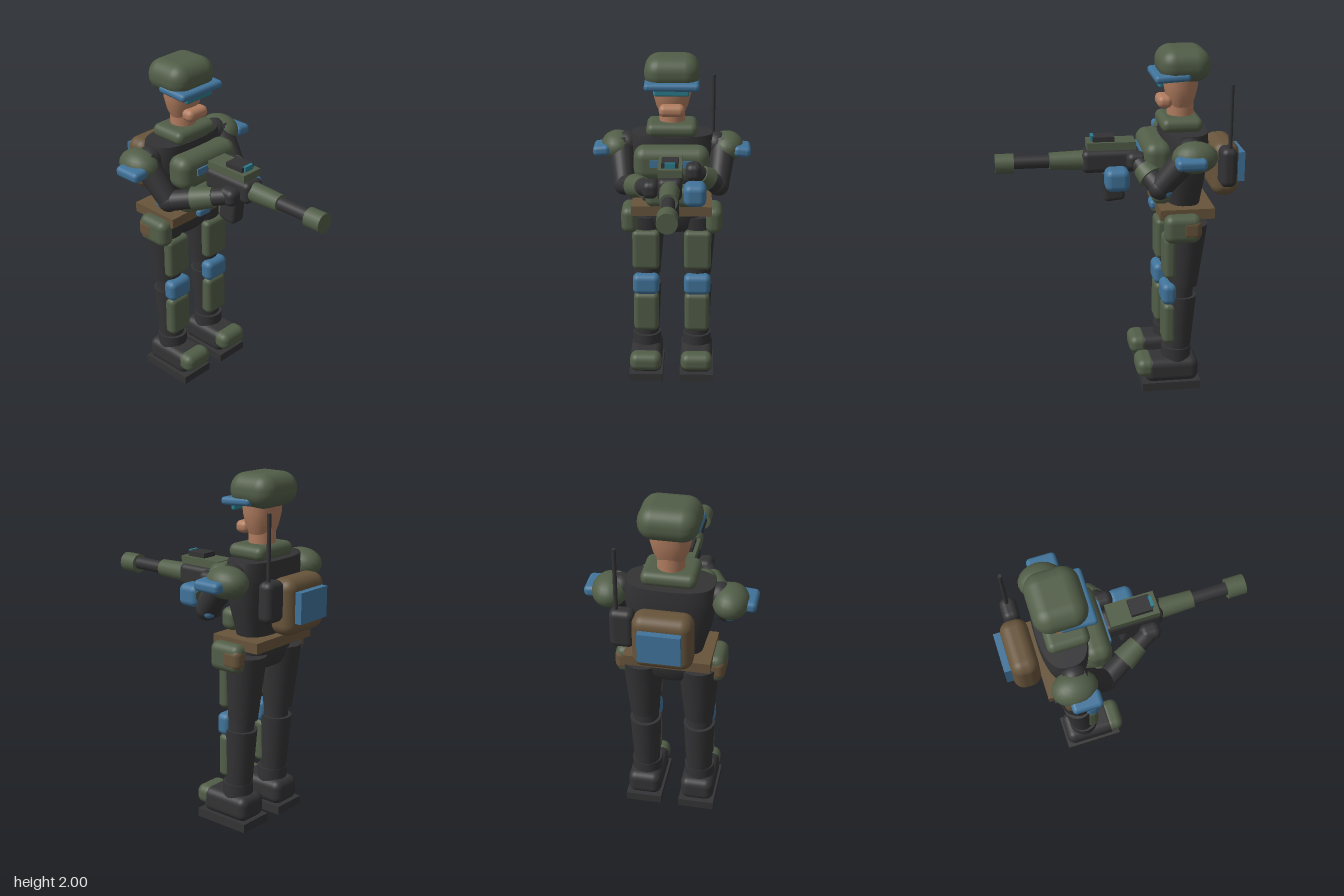
import * as THREE from 'three';
import { toCreasedNormals } from 'three/addons/utils/BufferGeometryUtils.js';
import { RoundedBoxGeometry } from 'three/addons/geometries/RoundedBoxGeometry.js';

const paint = (name, color) => {
  const m = new THREE.MeshStandardMaterial({ color });
  m.name = name;
  return m;
};

export function createModel() {
  const green = paint('olive green', 0x525e48);
  const dark = paint('charcoal', 0x333335);
  const blue = paint('steel blue', 0x40739a);
  const brown = paint('canvas brown', 0x67543b);
  const skin = paint('skin', 0xb07c5f);
  const teal = paint('teal lens', 0x2c7c8e);

  const model = new THREE.Group();
  model.name = 'soldier';
  let parent = model;

  const add = (name, geo, mat, x = 0, y = 0, z = 0) => {
    const mesh = new THREE.Mesh(geo, mat);
    mesh.name = name;
    mesh.position.set(x, y, z);
    parent.add(mesh);
    return mesh;
  };
  const group = (name, build) => {
    parent = new THREE.Group();
    parent.name = name;
    model.add(parent);
    build();
    parent = model;
  };
  const box = (name, mat, x, y, z, w, h, d) =>
    add(name, new THREE.BoxGeometry(w, h, d), mat, x, y, z);
  // Softly rounded block
  const pad = (name, mat, x, y, z, w, h, d, round = 0.4) =>
    add(name, new RoundedBoxGeometry(w, h, d, 5, Math.min(w, h, d) * round), mat, x, y, z);
  // Tapered round piece between two points
  const limb = (name, mat, a, b, ra, rb) => {
    const p = new THREE.Vector3(...a), q = new THREE.Vector3(...b);
    const dir = q.clone().sub(p);
    const mesh = add(name, new THREE.CylinderGeometry(rb, ra, dir.length(), 24), mat);
    mesh.position.copy(p).add(q).multiplyScalar(0.5);
    mesh.quaternion.setFromUnitVectors(new THREE.Vector3(0, 1, 0), dir.normalize());
    return mesh;
  };
  // Turned profile with squared-off oval sections
  const oval = (name, mat, profile, z, depth, square = 1) => {
    const geo = new THREE.LatheGeometry(profile.map((p) => new THREE.Vector2(...p)), 40);
    const pos = geo.attributes.position;
    for (let i = 0; i < pos.count; i++) {
      const r = Math.hypot(pos.getX(i), pos.getZ(i)) || 1;
      const bend = (v) => Math.sign(v) * Math.abs(v / r) ** square * r;
      pos.setX(i, bend(pos.getX(i)));
      pos.setZ(i, bend(pos.getZ(i)) * depth);
    }
    return add(name, toCreasedNormals(geo, 0.7), mat, 0, 0, z);
  };

  // Head and headgear
  group('head', () => {
    oval('face', skin, [[0, 1.65], [0.07, 1.655], [0.095, 1.71], [0.112, 1.78], [0.115, 1.85], [0, 1.87]], -0.345, 0.85, 0.9);
    limb('neck', skin, [0, 1.58, -0.345], [0, 1.69, -0.345], 0.075, 0.075);
    pad('jaw', skin, 0, 1.695, -0.25, 0.15, 0.07, 0.085, 0.45);
    pad('helmet', green, 0, 1.907, -0.353, 0.322, 0.186, 0.29, 0.47);
    pad('helmetBrim', blue, 0, 1.847, -0.278, 0.318, 0.045, 0.2, 0.45).rotation.x = 0.06;
    pad('visor', teal, 0, 1.812, -0.218, 0.2, 0.05, 0.025);
  });

  // Torso, armour and belt
  group('torso', () => {
    oval('body', dark, [[0, 1.1], [0.175, 1.1], [0.19, 1.16], [0.222, 1.27], [0.245, 1.4], [0.25, 1.48], [0.24, 1.54], [0, 1.54]], -0.36, 0.54, 0.75);
    pad('collar', green, 0, 1.575, -0.338, 0.3, 0.082, 0.235, 0.47);
    pad('chestPlate', green, 0, 1.4, -0.195, 0.44, 0.2, 0.16);
    pad('abdomenPlate', green, 0, 1.185, -0.225, 0.31, 0.13, 0.11);
    box('chestStrip', blue, 0, 1.413, -0.115, 0.25, 0.042, 0.02);
    box('belt', brown, 0, 1.09, -0.357, 0.48, 0.06, 0.31);
    pad('buckle', blue, 0, 1.087, -0.195, 0.1, 0.05, 0.045);
    oval('pelvis', dark, [[0, 0.925], [0.13, 0.93], [0.165, 0.965], [0.185, 1.03], [0.185, 1.07], [0, 1.07]], -0.36, 0.6, 0.8);
    for (const s of [-1, 1]) {
      pad('hipPouch', green, s * 0.255, 1.015, -0.325, 0.1, 0.165, 0.21, 0.45);
      pad('sidePouch', brown, s * 0.26, 1.015, -0.37, 0.095, 0.125, 0.125);
    }
  });

  // Legs
  for (const s of [-1, 1]) {
    const x = s * 0.157;
    group(s > 0 ? 'leftLeg' : 'rightLeg', () => {
      limb('thigh', dark, [x, 0.64, -0.35], [x, 1.02, -0.37], 0.084, 0.115);
      limb('kneeJoint', dark, [x, 0.56, -0.335], [x, 0.65, -0.335], 0.075, 0.075);
      limb('shin', dark, [x, 0.23, -0.325], [x, 0.575, -0.34], 0.075, 0.09);
      limb('ankle', dark, [x, 0.17, -0.317], [x, 0.25, -0.317], 0.087, 0.087);
      pad('thighPlate', green, x, 0.822, -0.265, 0.165, 0.25, 0.07);
      pad('kneePad', blue, x, 0.597, -0.263, 0.165, 0.13, 0.088);
      pad('shinPlate', green, x, 0.41, -0.268, 0.155, 0.255, 0.08);
      pad('boot', dark, x, 0.115, -0.283, 0.195, 0.145, 0.315, 0.32);
      pad('toeCap', green, x, 0.133, -0.132, 0.195, 0.113, 0.115);
      box('sole', dark, x, 0.025, -0.278, 0.21, 0.05, 0.345);
    });
  }

  // Arms, the right one reaching further forward
  for (const s of [-1, 1]) {
    const shoulder = [s * 0.305, 1.47, -0.355];
    const elbow = [s * 0.275, 1.265, -0.19];
    const hand = s < 0 ? [-0.11, 1.345, 0.12] : [0.13, 1.385, -0.08];
    const along = (t) => elbow.map((v, i) => v + (hand[i] - v) * t);
    group(s > 0 ? 'leftArm' : 'rightArm', () => {
      const cap = add('shoulderPad', new THREE.SphereGeometry(1, 20, 14), green, s * 0.325, 1.45, -0.372);
      cap.scale.set(0.1, 0.088, 0.127);
      pad('shoulderPlate', blue, s * 0.415, 1.443, -0.335, 0.1, 0.062, 0.17).rotation.z = -s * 0.08;
      add('shoulderJoint', new THREE.SphereGeometry(0.075, 20, 14), dark, s * 0.265, 1.465, -0.355);
      limb('upperArm', dark, shoulder, elbow, 0.078, 0.062);
      add('elbowJoint', new THREE.SphereGeometry(0.064, 20, 14), dark, ...elbow);
      pad('elbowPad', blue, s * 0.295, 1.265, -0.205, 0.07, 0.085, 0.095);
      limb('forearm', dark, elbow, hand, 0.06, 0.046);
      limb('gauntlet', green, along(0.4), along(0.74), 0.07, 0.058);
      pad('hand', dark, ...hand, 0.09, 0.1, 0.115);
    });
  }

  // Rifle
  group('rifle', () => {
    pad('receiver', dark, 0, 1.36, 0.05, 0.135, 0.13, 0.335, 0.25);
    box('topRail', green, 0, 1.453, 0.052, 0.135, 0.044, 0.275);
    box('railMount', dark, 0, 1.425, 0.05, 0.07, 0.04, 0.2);
    box('sight', dark, 0, 1.488, 0.095, 0.095, 0.03, 0.12);
    box('sightLens', teal, 0, 1.492, 0.158, 0.06, 0.032, 0.018);
    limb('handguard', green, [0, 1.36, 0.18], [0, 1.36, 0.4], 0.058, 0.05);
    limb('barrel', dark, [0, 1.36, 0.38], [0, 1.36, 0.62], 0.036, 0.036);
    limb('muzzle', green, [0, 1.355, 0.6], [0, 1.355, 0.705], 0.057, 0.057);
    pad('magazine', dark, 0, 1.215, 0.04, 0.095, 0.19, 0.12, 0.25).rotation.x = 0.12;
    pad('ammoDrum', blue, 0.14, 1.285, 0.032, 0.128, 0.13, 0.138, 0.3);
  });

  // Backpack and radio
  group('backpack', () => {
    pad('pack', brown, -0.003, 1.313, -0.59, 0.325, 0.315, 0.155);
    box('packPanel', blue, 0, 1.32, -0.685, 0.23, 0.172, 0.04);
    pad('radio', dark, 0.215, 1.36, -0.58, 0.135, 0.225, 0.092);
    limb('antenna', dark, [0.245, 1.4, -0.585], [0.245, 1.83, -0.585], 0.011, 0.011);
  });

  return model;
}
